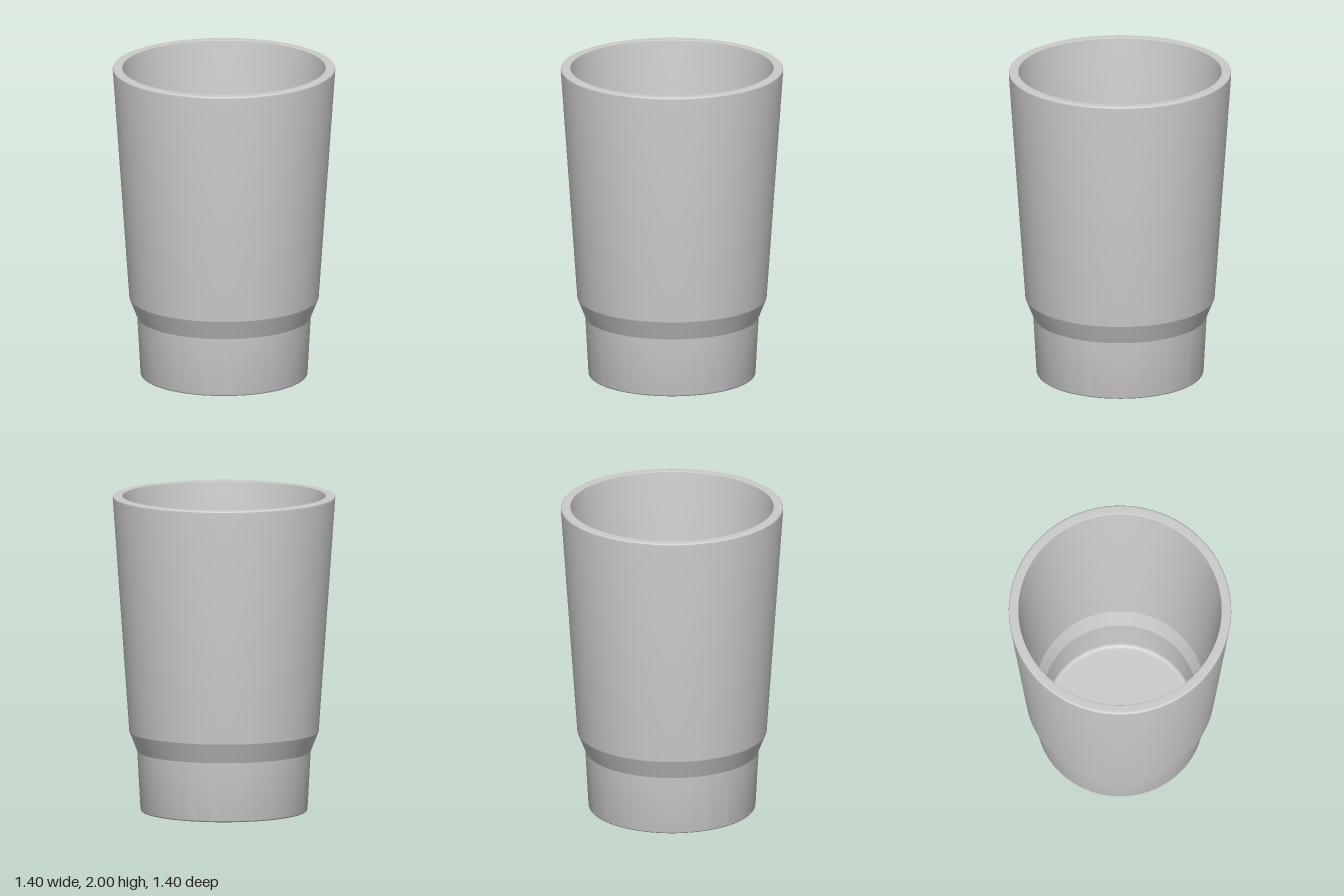
import * as THREE from 'three';
import { toCreasedNormals } from 'three/addons/utils/BufferGeometryUtils.js';

export function createModel() {
  const group = new THREE.Group();
  group.name = 'cup';

  // Closed wall profile: underside, outer wall, rim, inner wall, floor
  const profile = new THREE.Path();
  profile.moveTo(0, 0);
  profile.lineTo(0.51, 0);
  profile.quadraticCurveTo(0.524, 0, 0.525, 0.015); // rounded foot
  profile.lineTo(0.545, 0.38);
  profile.lineTo(0.595, 0.505); // stacking shoulder
  profile.lineTo(0.699, 1.985);
  profile.quadraticCurveTo(0.7, 2, 0.685, 2); // rounded lip
  profile.lineTo(0.643, 2);
  profile.quadraticCurveTo(0.638, 2, 0.638, 1.995);
  profile.lineTo(0.533, 0.505);
  profile.lineTo(0.485, 0.38); // inner shoulder
  profile.lineTo(0.471, 0.09);
  profile.quadraticCurveTo(0.47, 0.06, 0.44, 0.06); // floor fillet
  profile.lineTo(0, 0.06);

  // Smooth around the axis, sharp at the shoulder
  const lathe = new THREE.LatheGeometry(profile.getPoints(12), 96);
  const geometry = toCreasedNormals(lathe, THREE.MathUtils.degToRad(15));
  const body = new THREE.Mesh(geometry, new THREE.MeshStandardMaterial({ color: 0xcccccc }));
  body.name = 'cupBody';
  group.add(body);

  return group;
}
